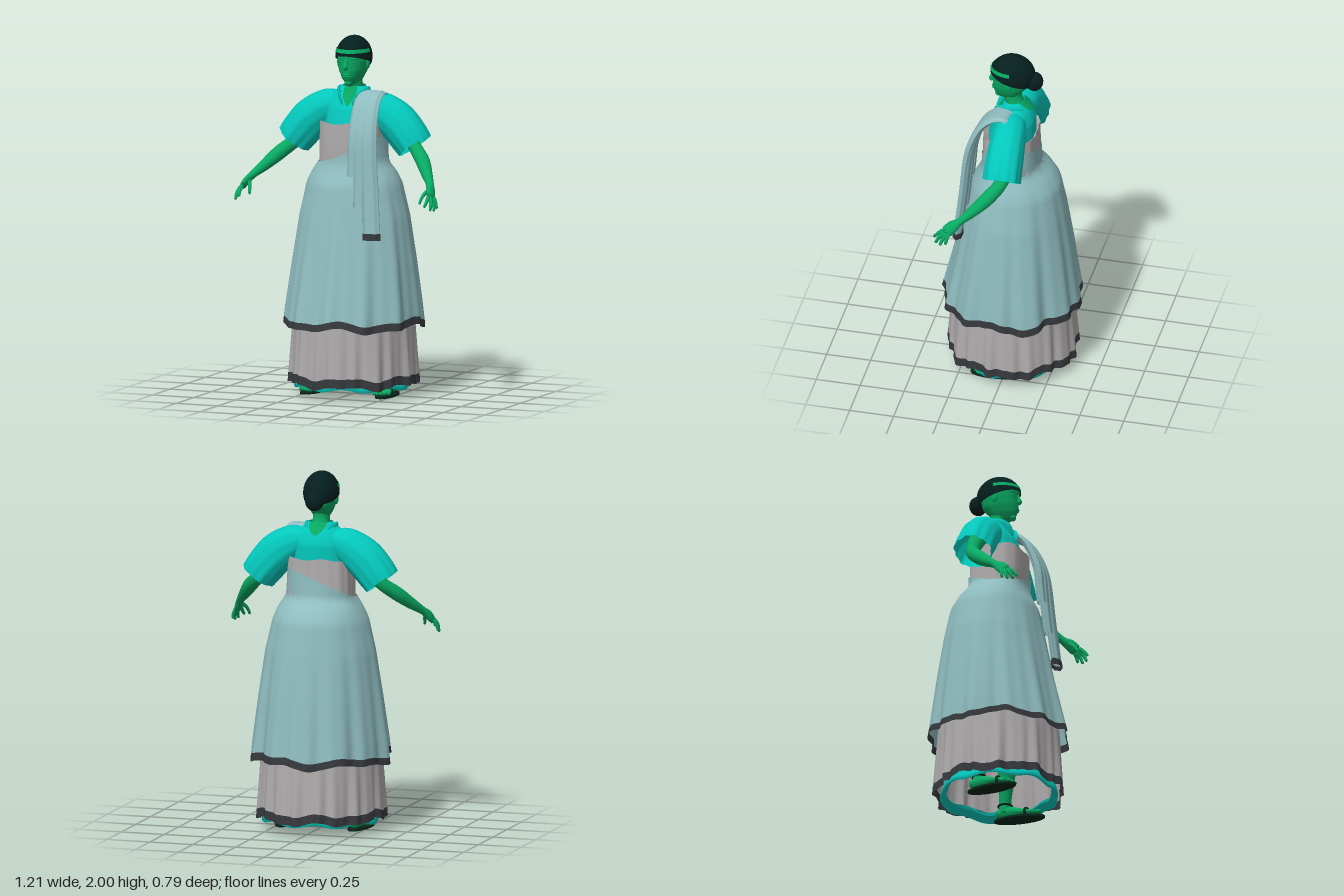
import * as THREE from 'three';

const mat = (name, color) => Object.assign(
  new THREE.MeshStandardMaterial({ color, side: THREE.DoubleSide }), { name });
const M = {
  skin: mat('skin', 0x08a963), hair: mat('hair', 0x061f1f), teal: mat('blouse teal', 0x04c8bc),
  sky: mat('drape blue', 0x8fbcbf), grey: mat('dress grey', 0xb0acad),
  dark: mat('border dark', 0x36393d), sole: mat('sole black', 0x08261c),
};
const TAU = Math.PI * 2, lerp = THREE.MathUtils.lerp;

// Grid surface from f(u, v) -> Vector3; closed joins the u seam
function grid(nu, nv, closed, f) {
  const pos = [], idx = [], w = closed ? nu : nu + 1;
  for (let j = 0; j <= nv; j++) for (let i = 0; i < w; i++) pos.push(...f(i / nu, j / nv).toArray());
  for (let j = 0; j < nv; j++) for (let i = 0; i < nu; i++) {
    const a = j * w + i, b = j * w + (i + 1) % w, c = b + w, d = a + w;
    idx.push(a, b, c, a, c, d);
  }
  const g = new THREE.BufferGeometry();
  g.setAttribute('position', new THREE.Float32BufferAttribute(pos, 3));
  g.setIndex(idx);
  g.computeVertexNormals();
  return g;
}

// Point at angle a (0 = front) and height y of a table of [y, halfWidth, front, back]
function section(table, a, y, k = 1) {
  let i = 0;
  while (i < table.length - 2 && y > table[i + 1][0]) i++;
  const p = table[i], q = table[i + 1];
  const t = THREE.MathUtils.clamp((y - p[0]) / (q[0] - p[0]), 0, 1);
  const c = Math.cos(a), z = c > 0 ? lerp(p[2], q[2], t) : lerp(p[3], q[3], t);
  return new THREE.Vector3(lerp(p[1], q[1], t) * Math.sin(a) * k, y, z * c * k);
}

// Tapered elliptical tube through points [x, y, z, r1, r2]; r1 lies along ref
function limb(pts, { ref = [0, 0, 1], cap = 0.1, nu = 14, nv = 20, wave } = {}) {
  const path = new THREE.CatmullRomCurve3(pts.map(p => new THREE.Vector3(p[0], p[1], p[2])));
  const rad = new THREE.CatmullRomCurve3(pts.map(p => new THREE.Vector3(p[3], p[4] ?? p[3], 0)));
  const R = new THREE.Vector3(...ref);
  return grid(nu, nv, true, (u, v) => {
    const T = path.getTangent(v), S = R.clone().addScaledVector(T, -T.dot(R)).normalize();
    const N = T.clone().cross(S), r = rad.getPoint(v), a = u * TAU;
    const e = cap ? Math.max(0, 1 - Math.min(v, 1 - v) / cap) : 0;
    const k = Math.sqrt(1 - e * e) * (wave ? wave(a, v) : 1);
    return path.getPoint(v).addScaledVector(S, Math.cos(a) * r.x * k).addScaledVector(N, Math.sin(a) * r.y * k);
  });
}

const ball = (x, y, z, sx, sy, sz) =>
  new THREE.SphereGeometry(1, 20, 14).scale(sx, sy, sz).translate(x, y, z);

export function createModel() {
  const model = new THREE.Group();
  const add = (name, geo, material) => {
    const m = new THREE.Mesh(geo, material);
    m.name = name;
    model.add(m);
    return m;
  };

  // Overskirt with slanted wrap edge, folds and dark hem
  const over = [[0.38, 0.385, 0.385, 0.385], [0.5, 0.375, 0.36, 0.368], [0.75, 0.345, 0.308, 0.338],
    [1.0, 0.31, 0.258, 0.302], [1.18, 0.268, 0.222, 0.268], [1.24, 0.241, 0.192, 0.228],
    [1.3, 0.2, 0.172, 0.162], [1.55, 0.188, 0.168, 0.155]];
  const overPoint = (a, v) => {
    const top = 1.383 + 0.08 * Math.sin(a) - 0.033 * Math.cos(a);
    const hem = 0.39 + 0.012 * Math.sin(5 * a + 1) + 0.008 * Math.sin(9 * a);
    const y = lerp(hem, top, v), f = Math.max(0, 1 - v * 1.15);
    const fold = 0.03 * Math.cos(12 * a) + 0.02 * Math.sin(7 * a + 0.6) + 0.014 * Math.cos(23 * a);
    return section(over, a, y, 1 + f * fold - 0.05 * Math.max(0, v - 0.85) * Math.cos(4 * a) / 0.15);
  };
  // Grey dress skirt, running up to the waist inside
  const under = [[0.05, 0.35, 0.355, 0.36], [0.45, 0.332, 0.335, 0.335], [0.8, 0.295, 0.255, 0.285],
    [1.15, 0.23, 0.18, 0.22], [1.3, 0.165, 0.14, 0.14]];
  const underPoint = (a, v) => {
    const y = lerp(0.066 + 0.01 * Math.sin(6 * a) + 0.006 * Math.sin(11 * a + 2), 1.28, v);
    const f = Math.max(0, 1 - v * 2.2);
    return section(under, a, y, 1 + f * (0.026 * Math.sin(19 * a) + 0.02 * Math.sin(9 * a + 1) + 0.016 * Math.cos(31 * a)));
  };
  const cloth = (point, v0, v1, nv) => grid(180, nv, true, (u, v) => point(u * TAU, lerp(v0, v1, v)));
  add('overskirtHem', cloth(overPoint, 0, 0.041, 2), M.dark);
  add('overskirt', cloth(overPoint, 0.041, 1, 40), M.sky);
  add('underskirtHem', cloth(underPoint, 0, 0.041, 2), M.dark);
  add('underskirt', cloth(underPoint, 0.041, 1, 30), M.grey);

  // Petticoat edge, turned in at the bottom
  const hemR = [0.29, 0.312, 0.328, 0.322, 0.312], hemY = [0.08, 0.055, 0.05, 0.075, 0.11];
  add('petticoat', grid(96, 4, true, (u, v) => {
    const a = u * TAU, i = Math.round(v * 4), k = hemR[i] * (1 + 0.01 * Math.sin(10 * a));
    return new THREE.Vector3(k * Math.sin(a), hemY[i] + 0.01 * Math.sin(8 * a), k * Math.cos(a));
  }), M.teal);

  // Strapless dress bodice with squared front, its rim turned in towards the body
  const bodice = [[1.25, 0.194, 0.155, 0.152], [1.4, 0.192, 0.163, 0.15], [1.53, 0.186, 0.162, 0.148]];
  const rim = a => 1.522 + 0.006 * Math.sin(6 * a);
  const bodiceWave = a => 1 - 0.06 * Math.cos(4 * a) + (0.01 - 0.006 * Math.cos(a)) * Math.sin(18 * a);
  add('bodice', grid(96, 8, true, (u, v) =>
    section(bodice, u * TAU, lerp(1.25, rim(u * TAU), v), bodiceWave(u * TAU))), M.grey);
  add('bodiceLining', grid(96, 3, true, (u, v) =>
    section(bodice, u * TAU, rim(u * TAU) - 0.06 * v, bodiceWave(u * TAU) * (1 - 0.4 * v))), M.grey);

  // Blouse body with neck opening at front and nape
  const blouse = [[1.38, 0.16, 0.125, 0.12], [1.5, 0.168, 0.132, 0.13], [1.6, 0.165, 0.104, 0.13],
    [1.66, 0.14, 0.07, 0.11], [1.69, 0.1, 0.054, 0.088], [1.72, 0.066, 0.042, 0.066]];
  add('blouse', grid(48, 20, true, (u, v) => section(blouse, u * TAU, lerp(1.38, 1.72, v),
    1 + 0.012 * Math.sin(14 * u * TAU))), M.teal);
  const opening = (name, middle, low, wide) => add(name, grid(8, 10, false, (u, v) =>
    section(blouse, middle + (u - 0.5) * (0.06 + wide * v), lerp(low, 1.722, v), 1.06)), M.skin);
  opening('neckline', 0, 1.615, 1.0);
  opening('nape', Math.PI, 1.655, 1.5);

  // Neck and head
  add('neck', limb([[0, 1.62, -0.03, 0.06], [0, 1.69, -0.015, 0.052, 0.05], [0, 1.74, 0, 0.047, 0.05],
    [0, 1.82, 0, 0.05, 0.055]], { ref: [1, 0, 0] }), M.skin);
  const head = [[1.718, 0.002, 0.06, 0], [1.735, 0.034, 0.086, 0.02], [1.77, 0.058, 0.108, 0.05],
    [1.81, 0.076, 0.113, 0.09], [1.86, 0.086, 0.113, 0.105], [1.92, 0.088, 0.12, 0.11],
    [1.96, 0.068, 0.088, 0.09], [1.985, 0.002, 0.002, 0.002]];
  add('head', grid(32, 28, true, (u, v) => section(head, u * TAU, lerp(1.718, 1.985, v))), M.skin);
  add('nose', limb([[0, 1.885, 0.105, 0.009], [0, 1.855, 0.117, 0.01], [0, 1.834, 0.122, 0.015, 0.013],
    [0, 1.822, 0.112, 0.011]], { ref: [1, 0, 0], nv: 12 }), M.skin);
  add('upperLip', ball(0, 1.793, 0.109, 0.025, 0.006, 0.008), M.skin);
  add('lowerLip', ball(0, 1.781, 0.106, 0.021, 0.007, 0.009), M.skin);
  add('chin', ball(0, 1.744, 0.082, 0.022, 0.018, 0.018), M.skin);

  // Hair cap, bun and headband
  add('hair', new THREE.SphereGeometry(1, 40, 24, 0, TAU, 0, 1.74).rotateX(-0.3)
    .scale(0.098, 0.12, 0.127).translate(0, 1.88, 0), M.hair);
  add('bun', ball(0, 1.848, -0.122, 0.052, 0.054, 0.05), M.hair);
  add('headband', new THREE.SphereGeometry(1, 40, 3, 0, Math.PI, 1.13, 0.18)
    .scale(0.101, 0.123, 0.131).translate(0, 1.88, 0), M.skin);

  for (const s of [1, -1]) {
    const side = s > 0 ? 'left' : 'right';
    const mir = pts => pts.map(([x, ...r]) => [s * x, ...r]);

    // Face details
    add(side + 'Ear', ball(s * 0.087, 1.848, 0.005, 0.009, 0.03, 0.018), M.skin);
    add(side + 'Brow', ball(s * 0.037, 1.88, 0.1, 0.02, 0.005, 0.007), M.skin);
    add(side + 'Eye', ball(s * 0.037, 1.86, 0.097, 0.013, 0.006, 0.008), M.skin);

    // Collar flap
    add(side + 'Collar', limb(mir([[0.03, 1.62, 0.094, 0.014, 0.005], [0.06, 1.675, 0.066, 0.022, 0.007],
      [0.085, 1.7, 0.0, 0.018, 0.01], [0.06, 1.685, -0.075, 0.02, 0.008]]), { ref: [0, 1, 0.3] }), M.teal);

    // Puffed sleeve with gathered open end
    add(side + 'Sleeve', limb(mir([[0.07, 1.62, -0.02, 0.07, 0.065], [0.15, 1.595, -0.02, 0.091, 0.098],
      [0.255, 1.525, -0.02, 0.102, 0.112], [0.325, 1.447, -0.02, 0.105, 0.108], [0.36, 1.4, -0.02, 0.104, 0.101]]),
    { cap: 0, nu: 48, nv: 22, wave: (a, v) => 1 + v * (0.035 * Math.sin(12 * a) + 0.035 * Math.sin(5 * a + 1)) }), M.teal);

    // Arm, palm and fingers
    add(side + 'Arm', limb(mir([[0.2, 1.57, -0.03, 0.05], [0.29, 1.48, -0.03, 0.045], [0.35, 1.4, -0.025, 0.037],
      [0.425, 1.33, 0.035, 0.04], [0.485, 1.265, 0.11, 0.032], [0.532, 1.215, 0.175, 0.022],
      [0.552, 1.185, 0.215, 0.034, 0.02], [0.57, 1.15, 0.25, 0.034, 0.015]]), { cap: 0.04, nv: 36 }), M.skin);
    const fingers = [['Thumb', [0.545, 1.2, 0.2], [0.52, 1.16, 0.25], [0.51, 1.115, 0.28]],
      ['Index', [0.56, 1.165, 0.26], [0.562, 1.135, 0.295], [0.556, 1.105, 0.32]],
      ['Middle', [0.569, 1.16, 0.252], [0.584, 1.12, 0.285], [0.585, 1.085, 0.302]],
      ['Ring', [0.572, 1.155, 0.242], [0.592, 1.112, 0.263], [0.597, 1.08, 0.275]],
      ['Little', [0.573, 1.16, 0.228], [0.594, 1.12, 0.238], [0.6, 1.092, 0.242]]];
    for (const [name, ...p] of fingers)
      add(side + name, limb(mir(p.map((q, i) => [...q, 0.0125 - i * 0.0025])), { nu: 8, nv: 10 }), M.skin);

    // Leg, foot, toes and sandal
    add(side + 'Leg', limb(mir([[0.1, 0.95, 0, 0.08], [0.14, 0.55, 0, 0.06], [0.18, 0.3, -0.02, 0.052],
      [0.205, 0.1, -0.04, 0.034], [0.21, 0.03, -0.04, 0.036]]), { ref: [1, 0, 0], cap: 0.03 }), M.skin);
    add(side + 'Foot', limb(mir([[0.208, 0.04, -0.095, 0.032, 0.026], [0.212, 0.05, -0.03, 0.036, 0.038],
      [0.22, 0.038, 0.06, 0.044, 0.026], [0.226, 0.027, 0.145, 0.046, 0.014]]), { ref: [1, 0, 0] }), M.skin);
    for (let i = 0; i < 5; i++)
      add(side + 'Toe', ball(s * (0.192 + i * 0.018), 0.026, 0.158 - i * i * 0.002, 0.011 - i * 0.0006, 0.011, 0.021), M.skin);
    add(side + 'Sole', new THREE.CylinderGeometry(0.053, 0.053, 0.012, 32).scale(1, 1, 2.75)
      .rotateY(s * 0.08).translate(s * 0.218, 0.006, 0.04), M.sole);
    add(side + 'FootStrap', new THREE.TorusGeometry(0.046, 0.005, 8, 24).scale(1, 0.72, 1.6)
      .translate(s * 0.221, 0.033, 0.085), M.sole);
    add(side + 'AnkleStrap', new THREE.TorusGeometry(0.037, 0.006, 8, 24).rotateX(Math.PI / 2)
      .translate(s * 0.206, 0.09, -0.04), M.sole);
  }

  // Pleated sash over the left shoulder: [topX, bottomX, topHalf, bottomHalf, endY, layer]
  const drop = [[1.665, -0.03], [1.686, 0.005], [1.678, 0.055], [1.635, 0.115], [1.55, 0.165], [1.44, 0.2]];
  const strips = [[0.085, 0.087, 0.036, 0.032, 1.24, 0], [0.12, 0.137, 0.038, 0.036, 1.07, 0.004],
    [0.155, 0.216, 0.044, 0.049, 0.92, 0.008]];
  const pleat = a => 1 + 0.08 * Math.cos(6 * a);
  for (const [x0, x1, w0, w1, end, dz] of strips) {
    const at = (y, z, thick) => {
      const t = (1.69 - y) / (1.69 - end);
      return [lerp(x0, x1, t), y, z + dz, lerp(w0, w1, t), thick];
    };
    const low = [0.5, 1].map(t => lerp(1.44, end, t));
    add('sashPleat', limb([...drop.map(([y, z], i) => at(y, z, 0.013 + i * 0.002)),
      ...low.map(y => at(y, lerp(0.2, 0.252, (1.44 - y) / 0.52), 0.023))],
    { ref: [1, 0, 0], cap: 0, nu: 32, nv: 40, wave: pleat }), M.sky);
  }
  add('sashHem', limb([[0.216, 0.934, 0.259, 0.051, 0.025], [0.217, 0.897, 0.261, 0.051, 0.026]],
    { ref: [1, 0, 0], cap: 0, nu: 32, nv: 2, wave: pleat }), M.dark);

  return model;
}
